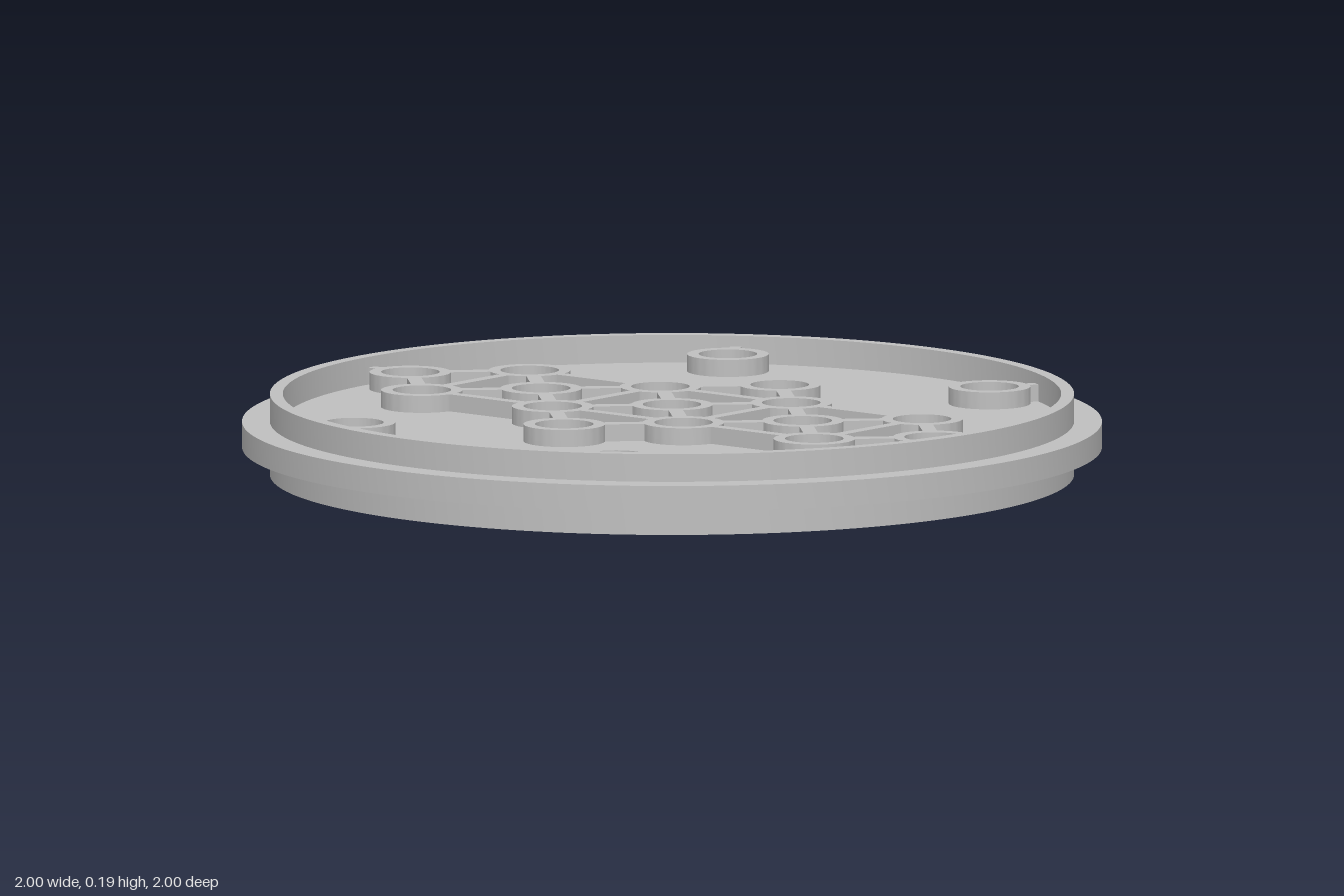
import * as THREE from 'three';
import { toCreasedNormals } from 'three/addons/utils/BufferGeometryUtils.js';

const HOLE = 0.068, BOSS = 0.095;
const PLATE_Y = 0.065, PLATE_H = 0.06; // flange plate
const BOSS_H = 0.04, RIM_H = 0.065;

// Hole positions: lattice in the middle, four by the rim
const P = 0.197;
const lattice = [[0, 0], [0, -2], [0, 2], [0, -4], [0, 4], [-2, 0], [2, 0]];
for (const x of [-1, 1]) for (const z of [-3, -1, 1, 3]) lattice.push([x, z]);
const inner = lattice.map(([x, z]) => new THREE.Vector2(x * P, z * P));
const outer = [];
for (const x of [-1, 1]) for (const z of [-1, 1]) outer.push(new THREE.Vector2(x * 0.683, z * 0.394));
const holes = [...inner, ...outer];

// Flat disc with round holes, standing on y
function disc(radius, height, y, holeList, holeRadius, segments) {
  const shape = new THREE.Shape().absarc(0, 0, radius, 0, Math.PI * 2, false);
  for (const h of holeList) {
    shape.holes.push(new THREE.Path().absarc(h.x, -h.y, holeRadius, 0, Math.PI * 2, true));
  }
  const geo = new THREE.ExtrudeGeometry(shape, { depth: height, bevelEnabled: false, curveSegments: segments });
  geo.rotateX(-Math.PI / 2).translate(0, y, 0);
  return toCreasedNormals(geo, 0.6);
}

export function createModel() {
  const model = new THREE.Group();
  const grey = new THREE.MeshStandardMaterial({ color: 0xbfbfbf });
  grey.name = 'grey';

  function add(geo, name, parent = model) {
    const mesh = new THREE.Mesh(geo, grey);
    mesh.name = name;
    parent.add(mesh);
    return mesh;
  }

  add(disc(1, PLATE_H, PLATE_Y, holes, HOLE, 96), 'flangePlate');

  const bossGeo = disc(BOSS, BOSS_H, 0, [new THREE.Vector2()], HOLE, 40);
  const rimGeo = disc(0.935, RIM_H, 0, [new THREE.Vector2()], 0.905, 128);

  // The same rim, bosses and ribs on both faces
  for (const top of [true, false]) {
    const side = new THREE.Group();
    side.name = top ? 'upperFace' : 'lowerFace';
    model.add(side);
    const bossY = top ? PLATE_Y + PLATE_H : PLATE_Y - BOSS_H;

    add(rimGeo, 'rim', side).position.y = top ? PLATE_Y + PLATE_H : 0;

    for (const h of holes) add(bossGeo, 'boss', side).position.set(h.x, bossY, h.y);

    const rib = (a, b, width, name) => {
      const d = b.clone().sub(a);
      const mesh = add(new THREE.BoxGeometry(d.length(), BOSS_H, width), name, side);
      mesh.position.set((a.x + b.x) / 2, bossY + BOSS_H / 2, (a.y + b.y) / 2);
      mesh.rotation.y = -Math.atan2(d.y, d.x);
    };

    // Ribs between neighbouring bosses
    for (let i = 0; i < inner.length; i++) {
      for (let j = i + 1; j < inner.length; j++) {
        const a = inner[i], b = inner[j];
        const dx = Math.round(Math.abs(a.x - b.x) / P), dz = Math.round(Math.abs(a.y - b.y) / P);
        const diagonal = dx === 1 && dz === 1;
        const onSides = Math.abs(Math.abs(a.x) - P) < 0.01 && Math.abs(Math.abs(b.x) - P) < 0.01;
        const straight = onSides && dx + dz === 2 && dx * dz === 0;
        if (!diagonal && !straight) continue;
        const step = b.clone().sub(a).setLength(0.085);
        rib(a.clone().add(step), b.clone().sub(step), diagonal ? 0.034 : 0.028,
          diagonal ? 'diagonalRib' : 'straightRib');
      }
    }

    // Short webs tying the outermost bosses to the rim
    for (const h of holes) {
      if (h.length() < 0.7) continue;
      rib(h.clone().setLength(h.length() + 0.085), h.clone().setLength(0.915), 0.026, 'rimWeb');
    }
  }
  return model;
}
